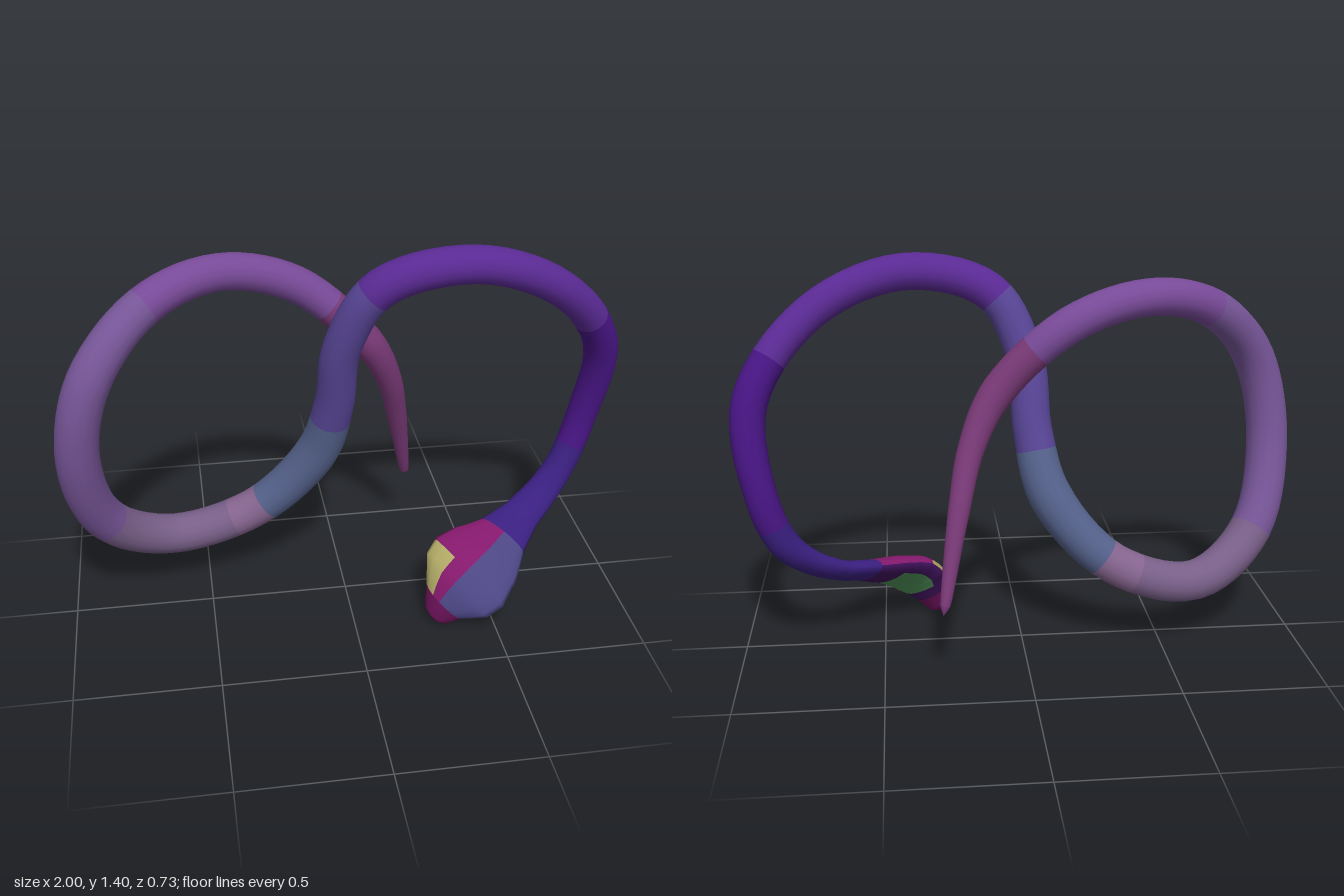
import * as THREE from 'three';

// Flattened stations from the snout to the neck: position, half width, half thickness
const HEAD = [
  [0.285, 0.012, 0.25, 0, 0],
  [0.295, 0.035, 0.25, 0.05, 0.035],
  [0.325, 0.09, 0.25, 0.09, 0.045],
  [0.37, 0.15, 0.245, 0.16, 0.05],
  [0.42, 0.19, 0.225, 0.175, 0.05],
  [0.49, 0.22, 0.175, 0.15, 0.045],
  [0.57, 0.25, 0.105, 0.10, 0.036],
  [0.66, 0.285, 0.03, 0.072, 0.034],
  [0.76, 0.35, -0.035, 0.06, 0.042],
];
// Round stations from the neck to the tail tip: position, radius
const BODY = [
  [0.84, 0.44, -0.08, 0.055],
  [0.905, 0.62, -0.10, 0.056],
  [0.93, 0.94, -0.04, 0.062],
  [0.72, 1.22, 0.085, 0.062],
  [0.40, 1.345, 0.14, 0.065],
  [0.10, 1.275, 0.125, 0.067],
  [-0.02, 1.05, 0.07, 0.066],
  [-0.04, 0.80, 0.005, 0.07],
  [-0.10, 0.57, -0.06, 0.078],
  [-0.32, 0.33, -0.11, 0.072],
  [-0.62, 0.25, -0.10, 0.073],
  [-0.85, 0.40, 0.015, 0.076],
  [-0.925, 0.72, 0.13, 0.075],
  [-0.86, 1.02, 0.142, 0.074],
  [-0.67, 1.22, 0.03, 0.068],
  [-0.42, 1.28, -0.08, 0.064],
  [-0.15, 1.20, -0.13, 0.064],
  [0.09, 0.98, -0.125, 0.06],
  [0.185, 0.80, -0.175, 0.047],
  [0.235, 0.60, -0.25, 0.038],
  [0.29, 0.30, -0.352, 0.018],
  [0.297, 0.268, -0.364, 0],
];
const STEPS = 7, SIDES = 16;

// Body colours, each up to a given station
const BANDS = [
  { end: 9.5, name: 'neck', color: 0x3a1f80 },
  { end: 11.5, name: 'foreBody', color: 0x481585 },
  { end: 14.2, name: 'archedBody', color: 0x5a2a94 },
  { end: 16.3, name: 'risingBody', color: 0x584596 },
  { end: 17.9, name: 'midBody', color: 0x55628c },
  { end: 18.3, name: 'bellyBand', color: 0x86658f },
  { end: 20, name: 'lowerLoop', color: 0x785f88 },
  { end: 23, name: 'outerLoop', color: 0x765597 },
  { end: 25.5, name: 'upperLoop', color: 0x784a98 },
  { end: Infinity, name: 'tail', color: 0x7a3a78 },
];
const HEAD_COLORS = {
  snout: 0x6a1258, crown: 0x84196c, cheek: 0x4c4684,
  browPatch: 0xb0a865, chin: 0x3f125c, throatPatch: 0x4f9058,
};

// Which part a surface patch belongs to (s = station, a = angle around the body)
function partAt(s, a) {
  if (s >= 6) return BANDS.find((band) => s < band.end).name;
  const across = Math.cos(a), under = Math.sin(a) > 0;
  if (s < 2) return 'snout';
  if (under) return Math.abs(across) < 0.75 && s > 2.5 && s < 5 ? 'throatPatch' : 'chin';
  if (across < -0.3 && s < 3.8) return 'browPatch';
  return across > 0.1 ? 'cheek' : 'crown';
}

export function createModel() {
  const group = new THREE.Group(), head = new THREE.Group(), body = new THREE.Group();
  group.name = 'snake';
  head.name = 'head';
  body.name = 'body';
  group.add(head, body);

  const stations = [...HEAD, ...BODY.map(([x, y, z, r]) => [x, y, z, r, r])];
  const curve = new THREE.CatmullRomCurve3(stations.map(([x, y, z]) => new THREE.Vector3(x, y, z)));
  const last = stations.length - 1, rings = last * STEPS;
  const wide = new THREE.Vector3(0.55, -0.45, 0.70).normalize(), positions = [];

  // Sweep an oval ring; the flat head keeps its tilt, then the frame follows the body
  for (let i = 0; i <= rings; i++) {
    const s = i / STEPS, k = Math.min(Math.floor(s), last - 1);
    const centre = curve.getPoint(i / rings), tangent = curve.getTangent(i / rings);
    if (s >= 5) wide.addScaledVector(tangent, -wide.dot(tangent) * (s < 8 ? 0.25 : 1)).normalize();
    const thick = new THREE.Vector3().crossVectors(tangent, wide).normalize();
    const halfWidth = THREE.MathUtils.lerp(stations[k][3], stations[k + 1][3], s - k);
    const halfThick = THREE.MathUtils.lerp(stations[k][4], stations[k + 1][4], s - k);
    for (let j = 0; j < SIDES; j++) {
      const a = (j / SIDES) * Math.PI * 2;
      const p = centre.clone()
        .addScaledVector(wide, halfWidth * Math.cos(a))
        .addScaledVector(thick, halfThick * Math.sin(a));
      positions.push(p.x, p.y, p.z);
    }
  }

  // Sort the faces into coloured parts
  const faces = [], parts = {};
  for (let i = 0; i < rings; i++) {
    for (let j = 0; j < SIDES; j++) {
      const a = i * SIDES + j, b = i * SIDES + ((j + 1) % SIDES), c = b + SIDES, d = a + SIDES;
      const name = partAt((i + 0.5) / STEPS, ((j + 0.5) / SIDES) * Math.PI * 2);
      (parts[name] ??= []).push(a, b, c, a, c, d);
      faces.push(a, b, c, a, c, d);
    }
  }

  // Shared smooth normals hide the joins between parts
  const skin = new THREE.BufferGeometry();
  skin.setAttribute('position', new THREE.Float32BufferAttribute(positions, 3));
  skin.setIndex(faces);
  skin.computeVertexNormals();
  for (const [name, index] of Object.entries(parts)) {
    const geometry = new THREE.BufferGeometry();
    geometry.setAttribute('position', skin.getAttribute('position'));
    geometry.setAttribute('normal', skin.getAttribute('normal'));
    geometry.setIndex(index);
    const color = HEAD_COLORS[name] ?? BANDS.find((band) => band.name === name).color;
    const mesh = new THREE.Mesh(geometry, new THREE.MeshStandardMaterial({ color }));
    mesh.name = name;
    (name in HEAD_COLORS ? head : body).add(mesh);
  }
  return group;
}
